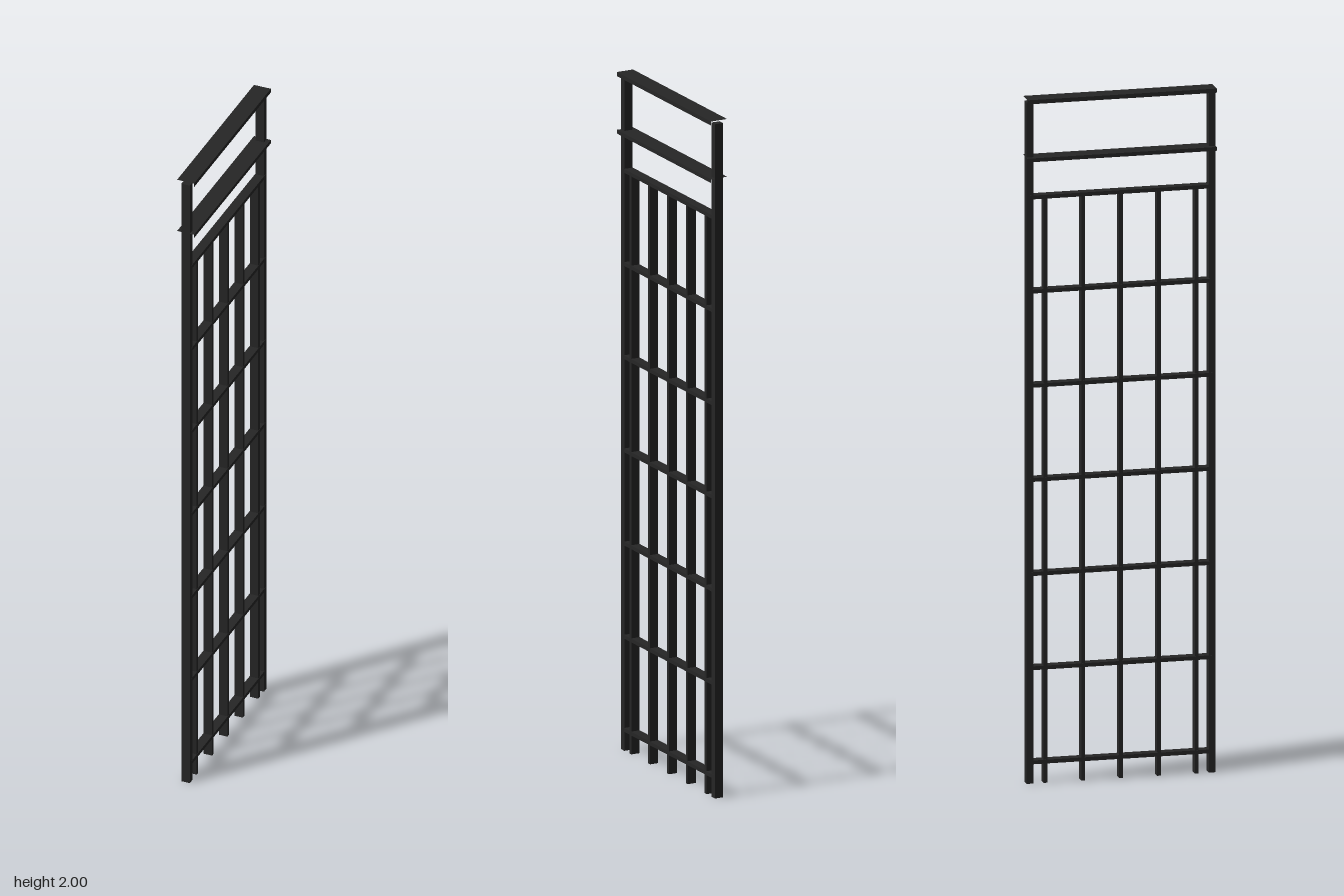
import * as THREE from 'three';

export function createModel() {
  const group = new THREE.Group();
  const iron = new THREE.MeshStandardMaterial({ color: 0x262626 });

  const addBar = (name, [w, h, d], [x, y, z], openEnds = false) => {
    const geo = new THREE.BoxGeometry(w, h, d);
    // Hollow rails have no caps on their two z ends (the last 12 indices)
    if (openEnds) {
      geo.setIndex(Array.from(geo.index.array).slice(0, 24));
      geo.clearGroups();
    }
    const mesh = new THREE.Mesh(geo, iron);
    mesh.name = name;
    mesh.position.set(x, y, z);
    group.add(mesh);
  };

  // Side posts
  for (const s of [-1, 1]) {
    addBar('sidePost', [0.026, 1.99, 0.02], [0, 0.995, s * 0.265]);
  }

  // Wide flat rails over the posts
  addBar('topRail', [0.052, 0.012, 0.55], [0, 1.994, 0], true);
  addBar('upperRail', [0.052, 0.011, 0.55], [0, 1.824, 0], true);

  // Grid crossbars
  for (let i = 0; i < 7; i++) {
    addBar('crossbar', [0.028, 0.011, 0.53], [0, 0.062 + i * 0.275, 0], true);
  }

  // Grid uprights
  for (let i = -2; i <= 2; i++) {
    addBar('upright', [0.026, 1.713, 0.011], [0, 0.8565, i * 0.11]);
  }

  return group;
}
